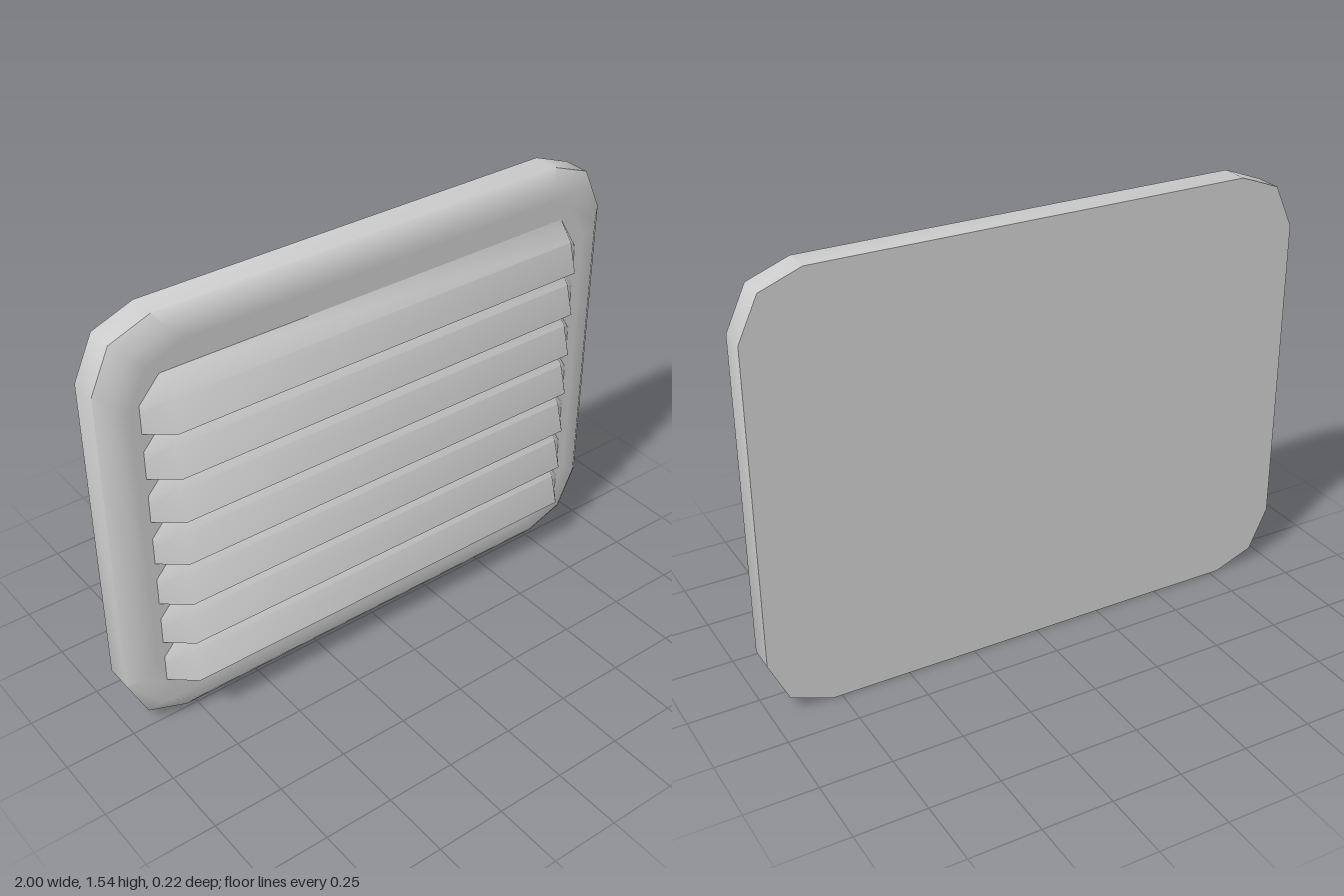
import * as THREE from 'three';
import { toCreasedNormals } from 'three/addons/utils/BufferGeometryUtils.js';

const MID_Y = 0.77;
const FRONT_Z = 0.025;

// Skin a list of cross-sections with quads; optional flat caps on closed rings.
function loft(sections, closed) {
  const pos = [];
  const tri = (a, b, c) => {
    const area = new THREE.Triangle(a, b, c).getArea();
    if (area > 1e-7) for (const p of [a, b, c]) pos.push(p.x, p.y, p.z);
  };
  const n = sections[0].length;
  for (let i = 0; i + 1 < sections.length; i++) {
    const a = sections[i], b = sections[i + 1];
    for (let j = 0; j < (closed ? n : n - 1); j++) {
      const k = (j + 1) % n;
      tri(a[j], a[k], b[k]);
      tri(a[j], b[k], b[j]);
    }
  }
  if (closed) {
    const back = sections[0], front = sections[sections.length - 1];
    for (let j = 1; j + 1 < n; j++) {
      tri(back[0], back[j + 1], back[j]);
      tri(front[0], front[j], front[j + 1]);
    }
  }
  const geo = new THREE.BufferGeometry();
  geo.setAttribute('position', new THREE.Float32BufferAttribute(pos, 3));
  return toCreasedNormals(geo, 0.9);
}

// Rounded rectangular outline, shrunk by an inset, counter-clockwise from the front.
function plateRing(inset, z) {
  const corner = [[1, 0.565], [0.93, 0.715], [0.785, 0.77]];
  const flipped = [...corner].reverse();
  const outline = [
    ...corner,
    ...flipped.map(([x, y]) => [-x, y]),
    ...corner.map(([x, y]) => [-x, -y]),
    ...flipped.map(([x, y]) => [x, -y]),
  ];
  return outline.map(([x, y]) =>
    new THREE.Vector3(x * (1 - inset), MID_Y + y * (1 - inset / MID_Y), z));
}

// Slat profiles as [height above lip, z], from the top edge to the underside.
function louverGeometry() {
  const middle = [[0.17, FRONT_Z], [0.105, 0.08], [0, 0.11], [-0.015, FRONT_Z]];
  const end = [[0.085, FRONT_Z], [0.045, FRONT_Z], [-0.015, FRONT_Z], [-0.015, FRONT_Z]];
  const section = (x, profile) => profile.map(([y, z]) => new THREE.Vector3(x, y, z));
  return loft([
    section(-0.87, end), section(-0.795, middle),
    section(0.79, middle), section(0.865, end),
  ], false);
}

export function createModel() {
  const model = new THREE.Group();
  model.name = 'louveredVent';
  const material = new THREE.MeshStandardMaterial({ color: 0xcccccc, side: THREE.DoubleSide });

  // Backing plate with a chamfered front rim
  const plate = new THREE.Mesh(loft([
    plateRing(0, -0.11), plateRing(0, -0.012),
    plateRing(0.045, FRONT_Z), plateRing(0.1, FRONT_Z),
  ], true), material);
  plate.name = 'backPlate';
  model.add(plate);

  // Row of overlapping slats
  const slats = new THREE.Group();
  slats.name = 'louvers';
  const geometry = louverGeometry();
  for (let i = 0; i < 7; i++) {
    const slat = new THREE.Mesh(geometry, material);
    slat.name = `louver${i + 1}`;
    slat.position.y = 0.205 + i * 0.1642;
    slats.add(slat);
  }
  model.add(slats);
  return model;
}
